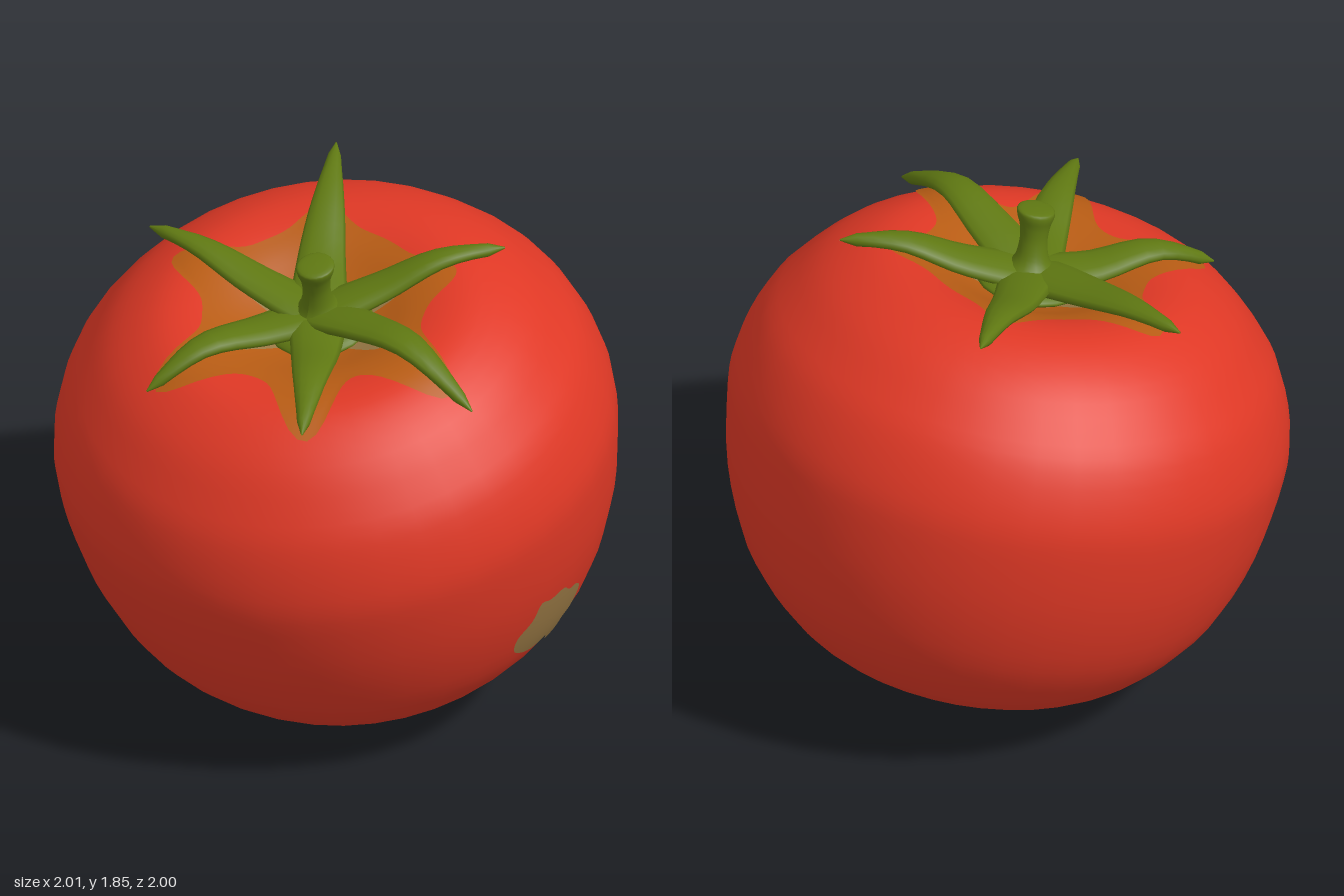
import * as THREE from 'three';

const mat = (name, color, side = THREE.FrontSide) => {
  const m = new THREE.MeshStandardMaterial({ color, side });
  m.name = name;
  return m;
};

// Fruit profile (radius, height), from the blossom end up to the stem hollow
const profile = new THREE.SplineCurve([
  [0, -0.895], [0.2, -0.845], [0.4, -0.79], [0.6, -0.7], [0.74, -0.58], [0.87, -0.4],
  [0.96, -0.15], [1, 0.1], [0.995, 0.26], [0.935, 0.44], [0.85, 0.56], [0.74, 0.675],
  [0.6, 0.755], [0.48, 0.775], [0.35, 0.75], [0.2, 0.69], [0, 0.63],
].map(([x, y]) => new THREE.Vector2(x, y)));
const dense = profile.getPoints(300);
const upper = dense.filter((p) => p.y > 0.3).reverse();

// Linear lookup in a list of points sorted by one coordinate
function lookup(list, key, out, v) {
  const i = list.findIndex((p) => p[key] >= v);
  if (i < 0) return list[list.length - 1][out];
  if (i === 0) return list[0][out];
  const a = list[i - 1], b = list[i];
  return a[out] + (b[out] - a[out]) * (v - a[key]) / (b[key] - a[key] || 1);
}
const topHeight = (r) => lookup(upper, 'x', 'y', r);
const sideRadius = (y) => lookup(dense, 'y', 'x', y);

// Disc of concentric rings; place(u, s) gives the point at turn u and scale s
function disc(n, rings, place) {
  const pos = [], idx = [];
  for (let k = 0; k <= rings; k++)
    for (let i = 0; i <= n; i++) pos.push(...place((i % n) / n, k / rings).toArray());
  for (let k = 0; k < rings; k++)
    for (let i = 0; i < n; i++) {
      const a = k * (n + 1) + i, c = a + n + 1;
      if (k > 0) idx.push(a, c, a + 1);
      idx.push(a + 1, c, c + 1);
    }
  return surface(pos, idx);
}

function surface(pos, idx) {
  const g = new THREE.BufferGeometry();
  g.setAttribute('position', new THREE.Float32BufferAttribute(pos, 3));
  g.setIndex(idx);
  g.computeVertexNormals();
  return g;
}

// Leaf: flattened oval sections swept along a curve
function sepalGeometry(points) {
  const curve = new THREE.CatmullRomCurve3(points.map((p) => new THREE.Vector3(...p)));
  const widths = [0.09, 0.1, 0.098, 0.092, 0.086, 0.08, 0.073, 0.065, 0.055, 0.045, 0.034, 0.024, 0.003];
  const n = 12, last = widths.length - 1, pos = [], idx = [];
  const up = new THREE.Vector3(0, 1, 0);
  widths.forEach((w, k) => {
    const c = curve.getPointAt(k / last), t = curve.getTangentAt(k / last);
    const side = t.clone().cross(up).normalize(), nor = side.clone().cross(t);
    const thick = Math.min(w, 0.02 + w * 0.15);
    for (let i = 0; i < n; i++) {
      const a = i / n * Math.PI * 2;
      const p = c.clone().addScaledVector(side, Math.cos(a) * w).addScaledVector(nor, Math.sin(a) * thick);
      pos.push(p.x, p.y, p.z);
    }
  });
  for (let k = 0; k < last; k++)
    for (let i = 0; i < n; i++) {
      const a = k * n + i, b = k * n + (i + 1) % n;
      idx.push(a, b, a + n, b, b + n, a + n);
    }
  return surface(pos, idx);
}

// Sepals: path after the hub, and reach of the orange blush beneath each
const hub = [0.01, 1.59, 0.14];
const sepals = [
  { reach: 0.6, path: [[-0.25, 1.64, 0.14], [-0.5, 1.695, 0.13], [-0.71, 1.7, 0.13]] },
  { reach: 0.5, path: [[-0.12, 1.66, -0.08], [-0.24, 1.77, -0.31], [-0.355, 1.825, -0.53]] },
  { reach: 0.52, path: [[0.17, 1.67, -0.04], [0.32, 1.76, -0.19], [0.48, 1.775, -0.35]] },
  { reach: 0.68, path: [[0.24, 1.645, 0.19], [0.48, 1.675, 0.25], [0.77, 1.535, 0.3]] },
  { reach: 0.66, path: [[0.12, 1.575, 0.32], [0.24, 1.605, 0.54], [0.365, 1.55, 0.78]] },
  { reach: 0.66, path: [[-0.11, 1.575, 0.32], [-0.22, 1.585, 0.54], [-0.32, 1.47, 0.74]] },
];
// Star outline with one lobe under each sepal
function star(angle, base, reach, width) {
  let r = base;
  for (const s of sepals) {
    const tip = s.path[2];
    const d = angle - Math.atan2(tip[0], tip[2] - 0.13);
    const w = Math.atan2(Math.sin(d), Math.cos(d)) / width;
    r += (reach(s) - base) * Math.exp(-w * w);
  }
  return r;
}

export function createModel() {
  const red = mat('ripe red', 0xdf3825);
  const green = mat('stem green', 0x5f7812, THREE.DoubleSide);
  const orange = mat('orange blush', 0xb85c14, THREE.DoubleSide);
  const tan = mat('scar tan', 0x9c7b46, THREE.DoubleSide);

  const model = new THREE.Group();
  model.name = 'tomato';
  const fruit = new THREE.Group();
  fruit.name = 'fruit';
  fruit.rotation.x = 0.227;
  fruit.position.set(0, 0.876, -0.027);
  model.add(fruit);
  const add = (parent, name, geometry, material) => {
    const m = new THREE.Mesh(geometry, material);
    m.name = name;
    parent.add(m);
  };

  // Fruit body
  add(fruit, 'body', new THREE.LatheGeometry(profile.getPoints(48), 40), red);

  // Blush and pale hollow around the stem
  const onTop = (base, reach, width, lift) => disc(120, 14, (u, s) => {
    const a = u * Math.PI * 2, r = s * star(a, base, reach, width);
    return new THREE.Vector3(Math.sin(a) * r, topHeight(r) + lift, Math.cos(a) * r);
  });
  add(fruit, 'blush', onTop(0.4, (s) => s.reach, 0.22, 0.008), orange);
  add(fruit, 'hollow', onTop(0.17, () => 0.33, 0.14, 0.013), tan);

  // Scar on the left side, outlined in (z, y)
  const outline = [
    [0.14, 0.62], [0.185, 0.56], [0.17, 0.49], [0.1, 0.445], [0.03, 0.43], [-0.03, 0.45],
    [-0.06, 0.415], [-0.115, 0.41], [-0.11, 0.49], [-0.15, 0.52], [-0.16, 0.61],
    [-0.11, 0.655], [-0.06, 0.66], [-0.01, 0.695], [0.07, 0.685], [0.12, 0.695],
  ];
  const rim = new THREE.CatmullRomCurve3(outline.map(([z, y]) => new THREE.Vector3(0, y, z)), true);
  const inverse = new THREE.Matrix4();
  fruit.updateMatrix();
  inverse.copy(fruit.matrix).invert();
  add(fruit, 'sideScar', disc(64, 6, (u, s) => {
    const p = new THREE.Vector3(0, 0.56, 0.01).lerp(rim.getPoint(u), s).applyMatrix4(inverse);
    const r = sideRadius(p.y);
    p.x = Math.sqrt(r * r - p.z * p.z) + 0.005;
    return p;
  }), tan);

  // Blossom scar underneath
  add(fruit, 'blossomScar', disc(16, 2, (u, s) => {
    const a = -u * Math.PI * 2, r = 0.03 * s;
    return new THREE.Vector3(Math.sin(a) * r, lookup(dense, 'x', 'y', r) - 0.005, Math.cos(a) * r);
  }), orange);

  // Stem with flared hub, leaning slightly to the left
  const stemProfile = new THREE.SplineCurve([
    [0, 0.67], [0.12, 0.675], [0.19, 0.7], [0.17, 0.725], [0.11, 0.745], [0.065, 0.79], [0.05, 0.86],
    [0.055, 0.92], [0.068, 0.965], [0.06, 0.985], [0, 0.99],
  ].map(([x, y]) => new THREE.Vector2(x, y)));
  const stem = new THREE.LatheGeometry(stemProfile.getPoints(40), 20);
  const sp = stem.attributes.position;
  for (let i = 0; i < sp.count; i++)
    sp.setX(i, sp.getX(i) + 0.01 + Math.max(0, sp.getY(i) - 0.74) * 0.1);
  stem.computeVertexNormals();
  add(fruit, 'stem', stem, green);

  // Sepals
  const calyx = new THREE.Group();
  calyx.name = 'calyx';
  model.add(calyx);
  for (const s of sepals) add(calyx, 'sepal', sepalGeometry([hub, ...s.path]), green);

  return model;
}
